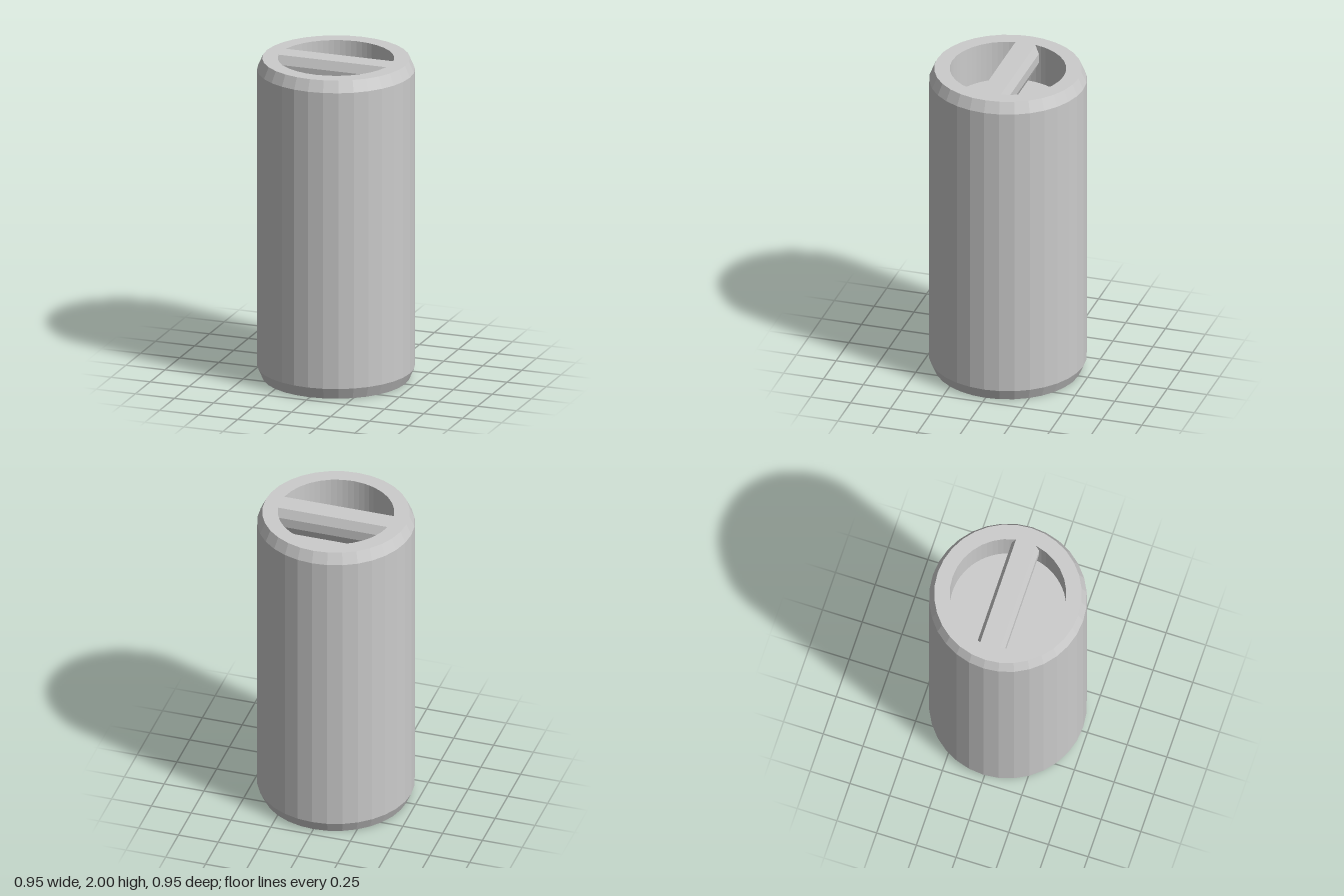
import * as THREE from 'three';

const SIDES = 32;

function lathe(name, points, sides, material) {
  const profile = points.map(([r, y]) => new THREE.Vector2(r, y));
  const mesh = new THREE.Mesh(new THREE.LatheGeometry(profile, sides), material);
  mesh.name = name;
  return mesh;
}

export function createModel() {
  const group = new THREE.Group();
  group.name = 'canister';
  const flat = new THREE.MeshStandardMaterial({ color: 0xcccccc, flatShading: true });

  // Chamfered shell: base, side, and flat rim around the recess
  group.add(lathe('body', [
    [0, 0], [0.442, 0], [0.473, 0.07], [0.473, 1.93], [0.442, 2], [0.349, 2],
  ], SIDES, flat));

  // Round recess sunk into the top, with a flat floor
  group.add(lathe('recess', [[0.349, 2], [0.349, 1.75], [0, 1.75]], SIDES * 2, flat));

  // Grip bar across the recess: chamfered above and below, flush with the rim
  const section = new THREE.Shape([
    [-0.062, 0], [-0.086, -0.055], [-0.086, -0.115], [-0.062, -0.17],
    [0.062, -0.17], [0.086, -0.115], [0.086, -0.055], [0.062, 0],
  ].map(([z, y]) => new THREE.Vector2(z, y)));
  const length = 0.7;
  const barGeometry = new THREE.ExtrudeGeometry(section, { depth: length, bevelEnabled: false });
  barGeometry.translate(0, 0, -length / 2).rotateY(Math.PI / 2);
  const bar = new THREE.Mesh(barGeometry, flat);
  bar.name = 'gripBar';
  bar.position.y = 2;
  group.add(bar);

  return group;
}
